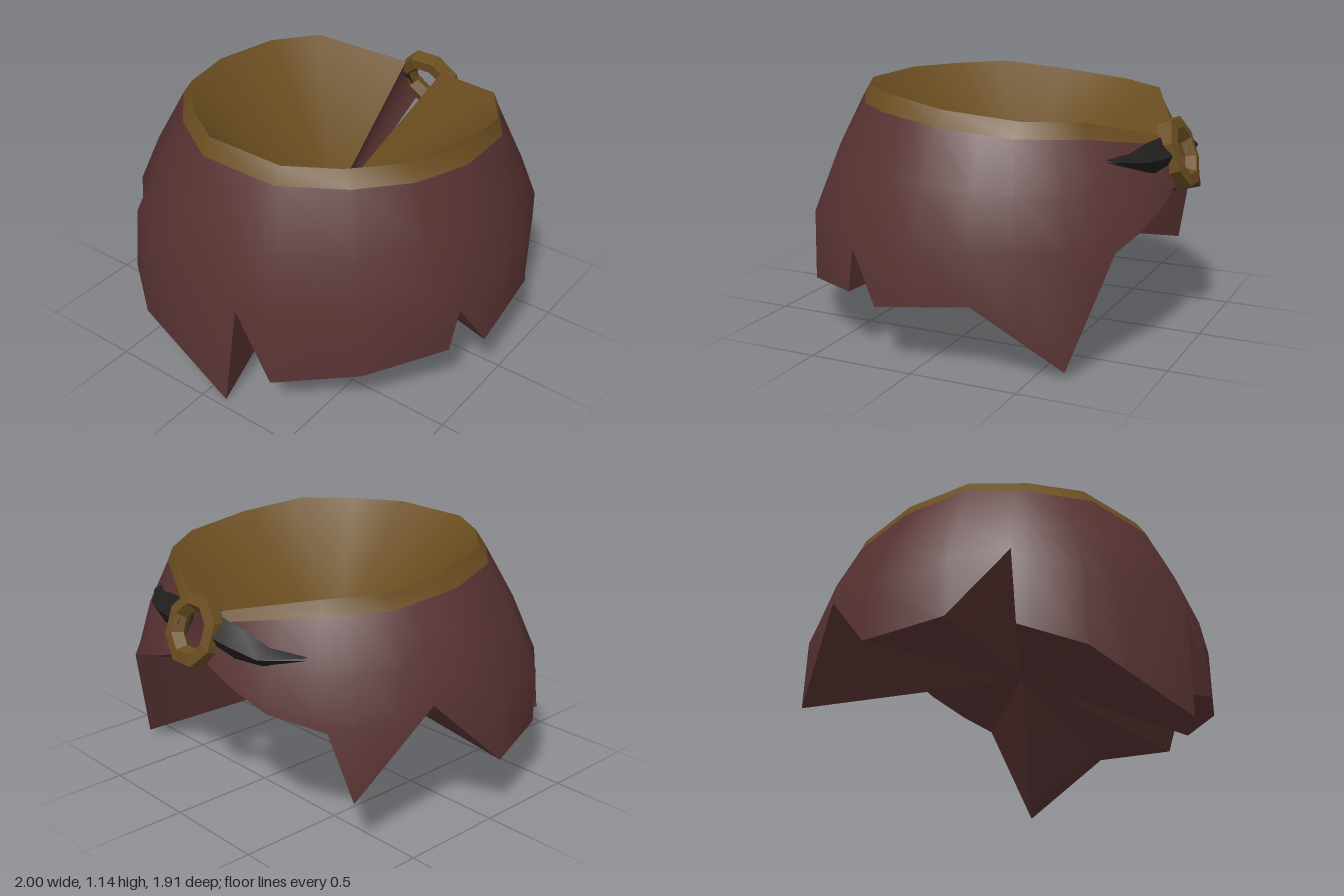
import * as THREE from 'three';
import { mergeVertices, toCreasedNormals } from 'three/addons/utils/BufferGeometryUtils.js';

const V = (x, y, z) => new THREE.Vector3(x, y, z);
const angleOf = p => { const a = Math.atan2(p.x, -p.z); return a < 0 ? a + Math.PI * 2 : a; };

// Interpolates an ordered loop of points by angle, clamped at the back slit
function sample(points, angle) {
  if (angle <= angleOf(points[0])) return points[0].clone();
  for (let i = 1; i < points.length; i++) {
    const a = angleOf(points[i - 1]), b = angleOf(points[i]);
    if (angle <= b) return points[i - 1].clone().lerp(points[i], (angle - a) / (b - a || 1));
  }
  return points[points.length - 1].clone();
}

// Skins a row of columns, each listed from the top down; creases sharper than the angle stay hard
function loft(columns, crease) {
  const n = columns[0].length, index = [];
  for (let i = 0; i < columns.length - 1; i++) {
    for (let j = 0; j < n - 1; j++) {
      const a = i * n + j, b = a + 1, c = a + n, d = c + 1;
      index.push(a, c, b, b, c, d);
    }
  }
  const g = mergeVertices(new THREE.BufferGeometry().setFromPoints(columns.flat()).setIndex(index));
  g.computeVertexNormals();
  return crease === undefined ? g : toCreasedNormals(g, crease);
}

// Gives a round shell even normals: outward, square to the slope of each column
function roundNormals(g) {
  const p = g.attributes.position, n = g.attributes.normal;
  for (let i = 0; i < p.count; i++) {
    const out = V(p.getX(i), 0, p.getZ(i)).normalize();
    const slope = THREE.MathUtils.clamp((p.getY(i) - .35) * .75, .02, .5);
    out.setY(slope).normalize();
    n.setXYZ(i, out.x, out.y, out.z);
  }
  return g;
}

export function createModel() {
  const group = new THREE.Group();
  group.name = 'shortCape';
  const material = (name, color) => {
    const m = new THREE.MeshStandardMaterial({ color, side: THREE.DoubleSide });
    m.name = name;
    return m;
  };
  const cloth = material('maroonCloth', 0x593333);
  const gold = material('darkGold', 0x6a4d20);
  const leather = material('blackLeather', 0x201d1d);
  const add = (name, geometry, mat) => {
    const mesh = new THREE.Mesh(geometry, mat);
    mesh.name = name;
    group.add(mesh);
    return mesh;
  };

  // Collar loops, mirrored, from the back slit round the front and back again
  const mirrorLoop = half => [
    ...half.map(p => V(...p)),
    ...half.slice().reverse().map(([x, y, z]) => V(-x, y, z)),
  ];
  const rimTop = mirrorLoop([[.11, .96, -.8], [.53, 1.07, -.6], [.68, 1.08, -.38], [.71, 1.11, -.02],
    [.62, 1.145, .29], [.43, 1.145, .49], [.2, 1.145, .63]]);
  const rimBase = mirrorLoop([[.13, .92, -.83], [.55, 1, -.62], [.72, 1.01, -.36], [.75, 1.04, 0],
    [.67, 1.07, .3], [.48, 1.07, .51], [.2, 1.07, .68]]);
  const liningApex = V(0, .54, -.02);
  const apex = V(0, .42, .04);

  // Ragged hem, with notches between the panels
  const hem = [
    [.08, .73, -.88], [.25, .67, -.88], [.46, .6, -.85], [.62, .54, -.79], [.78, .03, -.63],
    [.96, .33, -.27], [1, .28, .17], [.94, .51, .31], [.92, .3, .35], [.68, .25, .68],
    [.33, .18, .9], [.16, .52, .92], [.11, 0, .96], [-.47, .18, .86], [-.71, .25, .68],
    [-.68, .64, .62], [-.88, .31, .43], [-1, .28, .05], [-.91, .62, -.3], [-.79, .23, -.65],
    [-.7, .55, -.72], [-.46, .6, -.85], [-.25, .67, -.88], [-.08, .73, -.88],
  ].map(p => V(...p));

  // Widest line of the body
  const bulge = mirrorLoop([[.1, .74, -.89], [.25, .69, -.89], [.48, .62, -.85], [.78, .57, -.65],
    [.93, .57, -.34], [.98, .57, .06], [.88, .57, .43], [.67, .57, .68], [.42, .56, .85], [.12, .55, .92]]);

  const angles = [...hem, ...rimBase].map(angleOf).sort((a, b) => a - b);
  const columns = angles.map(a => {
    const top = sample(rimBase, a), bottom = sample(hem, a), wide = sample(bulge, a);
    const limit = bottom.y + .04;
    if (limit > wide.y) wide.lerp(top, Math.min(.8, (limit - wide.y) / (top.y - wide.y)));
    const upper = top.clone().lerp(wide, .5);
    upper.x *= 1.02;
    upper.z *= 1.02;
    return [top, upper, wide, bottom];
  });
  add('body', roundNormals(loft(columns)), cloth);
  add('underside', loft(columns.map(c => [c[3], apex]), .55), cloth);

  // Gold collar band and the lining that sinks to the middle
  add('collarBand', loft(rimTop.map((p, i) => [p, rimBase[i]])), gold);
  add('lining', loft(rimTop.map(p => [liningApex, p])), gold);

  // Cloth walls on both sides of the back slit
  const wall = (name, column, rim, flip) => {
    const outer = [rim, ...column];
    const inner = outer.map((p, i) => (i ? apex : liningApex));
    add(name, loft(flip ? [outer, inner] : [inner, outer], .5), cloth);
  };
  wall('leftSlitWall', columns[0], rimTop[0], false);
  wall('rightSlitWall', columns[columns.length - 1], rimTop[rimTop.length - 1], true);

  // Eight-sided clasp ring over the slit, with a bevelled hole
  const ringProfile = [[.085, 0], [.115, -.045], [.17, -.036], [.17, .036], [.115, .045], [.085, 0]];
  const ringGeometry = new THREE.LatheGeometry(ringProfile.map(p => new THREE.Vector2(...p)), 8, Math.PI / 8)
    .toNonIndexed();
  ringGeometry.computeVertexNormals();
  const ring = add('claspRing', ringGeometry, gold);
  ring.position.set(0, .86, -.865);
  ring.rotation.x = -1.234;

  // Pointed straps running from the ring along the body; the right one droops
  // Each section holds x, low edge, high edge and z
  const straps = {
    leftStrap: [[.09, .8, .95, -.85], [.26, .81, .95, -.83], [.38, .85, .92, -.79], [.5, .89, .91, -.73]],
    rightStrap: [[-.09, .8, .95, -.85], [-.26, .79, .92, -.84], [-.4, .79, .86, -.8], [-.55, .83, .85, -.7]],
  };
  for (const [name, data] of Object.entries(straps)) {
    const sections = data.map(([x, low, high, z], i) => {
      const t = i === 3 ? .005 : .045, mid = (low + high) / 2;
      const loop = [V(x, high, z + .03), V(x, mid, z - t), V(x, low, z - .01),
        V(x, mid, z + .04), V(x, high, z + .03)];
      return x > 0 ? loop : loop.reverse();
    });
    add(name, loft(sections, .4), leather);
  }
  return group;
}
